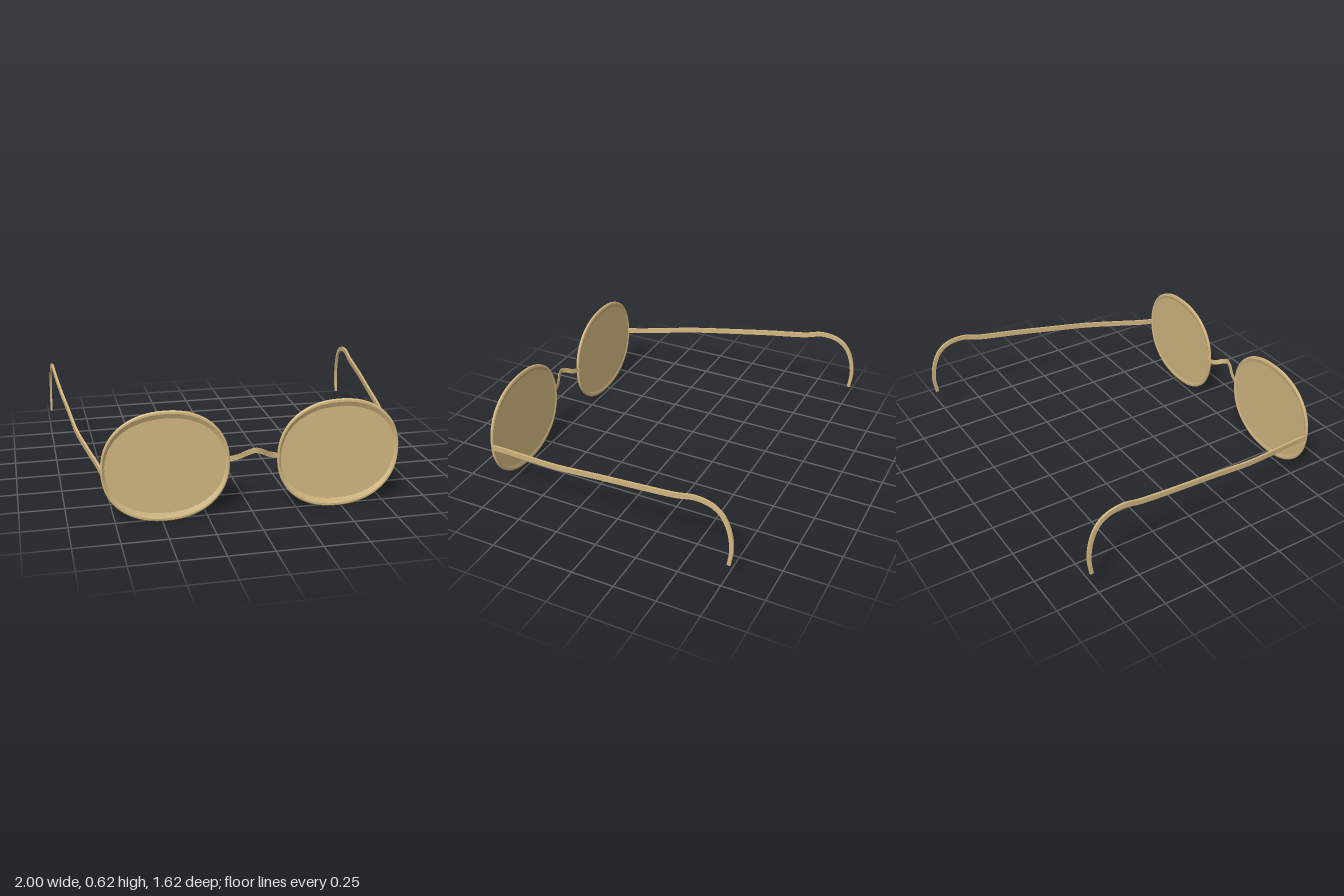
import * as THREE from 'three';
import { toCreasedNormals } from 'three/addons/utils/BufferGeometryUtils.js';

const V = (x, y, z) => new THREE.Vector3(x, y, z);
const material = new THREE.MeshStandardMaterial({ color: 0xd2b67f });

function mesh(name, geometry) {
  const m = new THREE.Mesh(geometry, material);
  m.name = name;
  return m;
}

// Skin equal-length rings of points; rings run counter-clockwise seen against the direction of travel.
function loft(rings, crease) {
  const n = rings[0].length, pos = [], idx = [];
  rings.forEach(r => r.forEach(p => pos.push(p.x, p.y, p.z)));
  for (let i = 0; i < rings.length - 1; i++) {
    for (let j = 0; j < n; j++) {
      const a = i * n + j, b = i * n + (j + 1) % n;
      idx.push(a, b, b + n, a, b + n, a + n);
    }
  }
  // End caps
  const last = (rings.length - 1) * n;
  for (let j = 1; j < n - 1; j++) idx.push(0, j + 1, j, last, last + j, last + j + 1);
  const g = new THREE.BufferGeometry();
  g.setAttribute('position', new THREE.Float32BufferAttribute(pos, 3));
  g.setIndex(idx);
  return toCreasedNormals(g, crease);
}

// Flat band of rectangular section along a curve, thin along the given axis.
function band(points, axis, thickness, height, steps) {
  const curve = new THREE.CatmullRomCurve3(points, false, 'centripetal');
  const rings = [];
  for (let i = 0; i <= steps; i++) {
    const t = i / steps, p = curve.getPointAt(t), dir = curve.getTangentAt(t);
    const up = axis.clone().cross(dir).normalize();
    const side = up.clone().cross(dir).normalize();
    const h = height(t) / 2, w = thickness / 2;
    rings.push([[-1, -1], [1, -1], [1, 1], [-1, 1]].map(([a, b]) =>
      p.clone().addScaledVector(side, a * w).addScaledVector(up, b * h)));
  }
  return loft(rings, 0.6);
}

// Rounded oval outline, drawn in by an inset that is narrower at the sides.
function oval(inset, z) {
  const ring = [], n = 96, power = 2 / 2.2;
  const soft = v => Math.sign(v) * Math.abs(v) ** power;
  for (let i = 0; i < n; i++) {
    const a = i / n * Math.PI * 2;
    ring.push(V((0.345 - inset * 0.5) * soft(Math.cos(a)), (0.31 - inset) * soft(Math.sin(a)), z));
  }
  return ring;
}

export function createModel() {
  const model = new THREE.Group();
  model.name = 'glasses';

  // Rim and lens: raised edge sloping down to a flat pane, from back to front
  const lensGeometry = loft([
    [0.034, 0.768], [0.016, 0.764], [0.005, 0.766], [0, 0.769], [0, 0.777],
    [0.005, 0.781], [0.016, 0.782], [0.044, 0.77],
  ].map(([d, z]) => oval(d, z)), 0.16);

  for (const s of [1, -1]) {
    const label = s > 0 ? 'left' : 'right';
    const lens = mesh(label + 'Lens', lensGeometry);
    lens.position.set(s * 0.476, 0.312, 0);
    model.add(lens);

    // Temple arm with ear hook
    const path = [
      [0.812, 0.297, 0.776], [0.823, 0.308, 0.69], [0.863, 0.338, 0.49], [0.9, 0.368, 0.29],
      [0.928, 0.411, 0], [0.949, 0.442, -0.22], [0.967, 0.474, -0.46], [0.971, 0.485, -0.51],
      [0.975, 0.499, -0.56], [0.977, 0.502, -0.61], [0.98, 0.489, -0.68], [0.983, 0.453, -0.735],
      [0.987, 0.38, -0.778], [0.991, 0.26, -0.8], [0.993, 0.153, -0.788],
    ].map(([x, y, z]) => V(s * x, y, z));
    const arm = band(path, V(1, 0, 0), 0.013, t => 0.031 - 0.011 * Math.max(0, (t - 0.65) / 0.35), 90);
    model.add(mesh(label + 'Temple', arm));
  }

  // Nose bridge arching up and forward
  const half = [[0.137, 0.326, 0.772], [0.11, 0.331, 0.775], [0.075, 0.344, 0.786], [0.04, 0.365, 0.801]];
  const bridgePath = [
    ...half.map(([x, y, z]) => V(-x, y, z)), V(0, 0.378, 0.81),
    ...half.reverse().map(([x, y, z]) => V(x, y, z)),
  ];
  model.add(mesh('bridge', band(bridgePath, V(0, 0, 1), 0.004, () => 0.029, 40)));

  return model;
}
